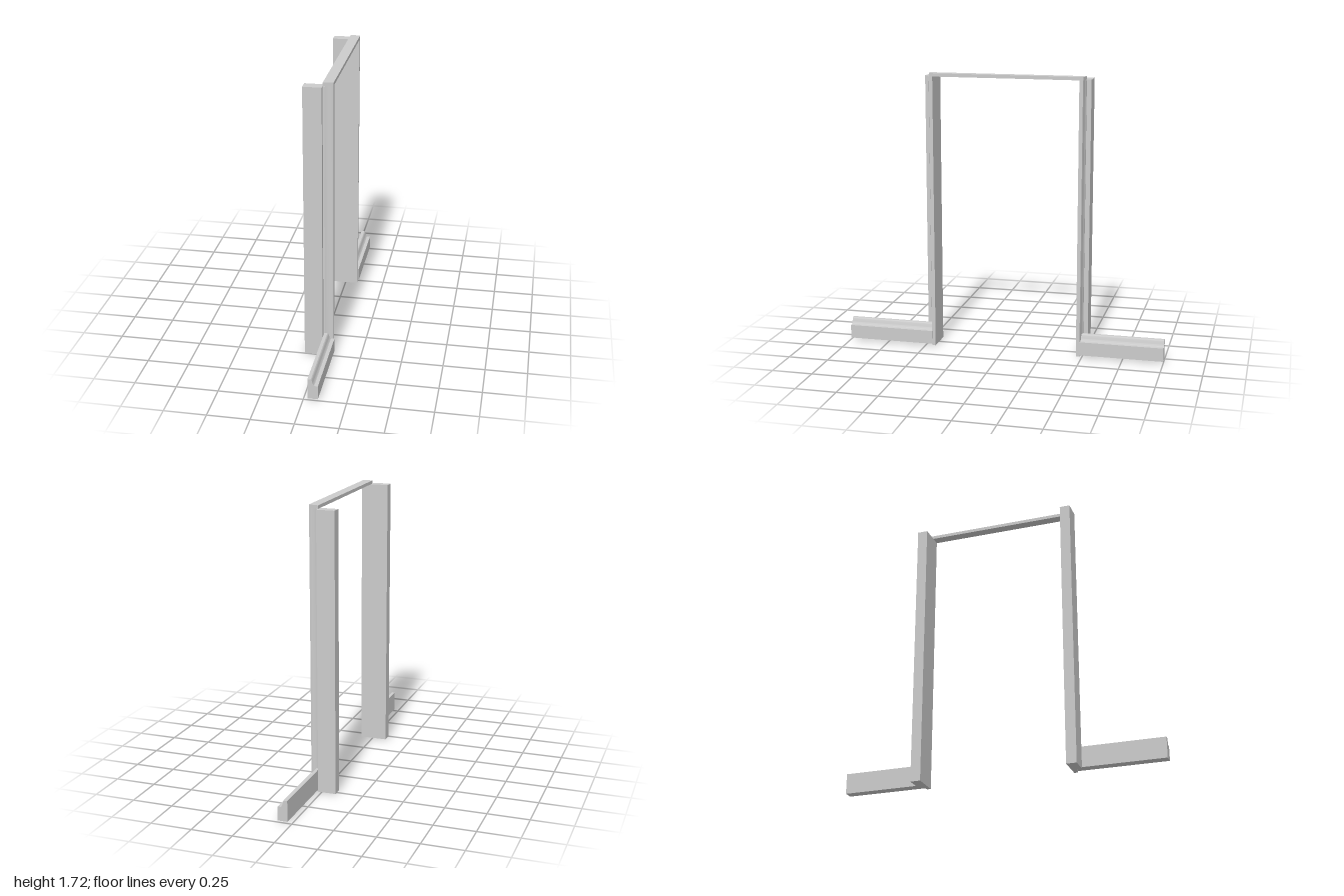
import * as THREE from 'three';
import { toCreasedNormals } from 'three/addons/utils/BufferGeometryUtils.js';

const grey = new THREE.MeshStandardMaterial({ color: 0xcccccc });

function part(name, geometry) {
  const mesh = new THREE.Mesh(geometry, grey);
  mesh.name = name;
  return mesh;
}

function box(name, x0, x1, y0, y1, z0, z1) {
  const mesh = part(name, new THREE.BoxGeometry(x1 - x0, y1 - y0, z1 - z0));
  mesh.position.set((x0 + x1) / 2, (y0 + y1) / 2, (z0 + z1) / 2);
  return mesh;
}

function extrude(shape, depth) {
  const g = new THREE.ExtrudeGeometry(shape, { depth, bevelEnabled: false, curveSegments: 10 });
  return toCreasedNormals(g, 0.5);
}

// Upright trim: flat on the opening side, tapering with a soft curve outside
function casing(name, inner, side) {
  const s = new THREE.Shape();
  const y = (d) => -(inner + side * d);
  s.moveTo(0.02, y(0));
  s.lineTo(0.08, y(0));
  s.lineTo(0.08, y(0.022));
  s.lineTo(0.07, y(0.026));
  s.quadraticCurveTo(0.045, y(0.026), 0.03, y(0.035));
  s.lineTo(0.02, y(0.035));
  const g = extrude(s, 1.7);
  g.rotateX(-Math.PI / 2);
  return part(name, g);
}

// Skirting profile: thick base, ledge, cove and narrow top
function baseboard(name, z0, z1) {
  const s = new THREE.Shape();
  s.moveTo(0.025, 0.01);
  s.lineTo(0.085, 0.01);
  s.lineTo(0.085, 0.094);
  s.lineTo(0.064, 0.096);
  s.quadraticCurveTo(0.056, 0.104, 0.053, 0.118);
  s.quadraticCurveTo(0.049, 0.133, 0.044, 0.136);
  s.lineTo(0.025, 0.136);
  const g = extrude(s, z1 - z0);
  g.translate(0, 0, z0);
  return part(name, g);
}

// Top trim, with ends mitred to follow the uprights
function header() {
  const s = new THREE.Shape();
  s.moveTo(0.02, -0.47);
  s.lineTo(0.08, -0.458);
  s.lineTo(0.08, 0.485);
  s.lineTo(0.02, 0.497);
  const g = extrude(s, 0.02);
  g.rotateX(-Math.PI / 2);
  g.translate(0, 1.7, 0);
  return part('headerTrim', g);
}

export function createModel() {
  const group = new THREE.Group();
  group.name = 'doorFrame';
  group.add(
    box('frontJamb', -0.09, 0.02, 0, 1.7, 0.437, 0.5),
    box('backJamb', -0.088, 0.022, 0, 1.7, -0.525, -0.462),
    casing('frontCasing', 0.437, 1),
    casing('backCasing', -0.462, -1),
    header(),
    baseboard('frontBaseboard', 0.458, 1),
    baseboard('backBaseboard', -1, -0.485),
  );
  return group;
}
